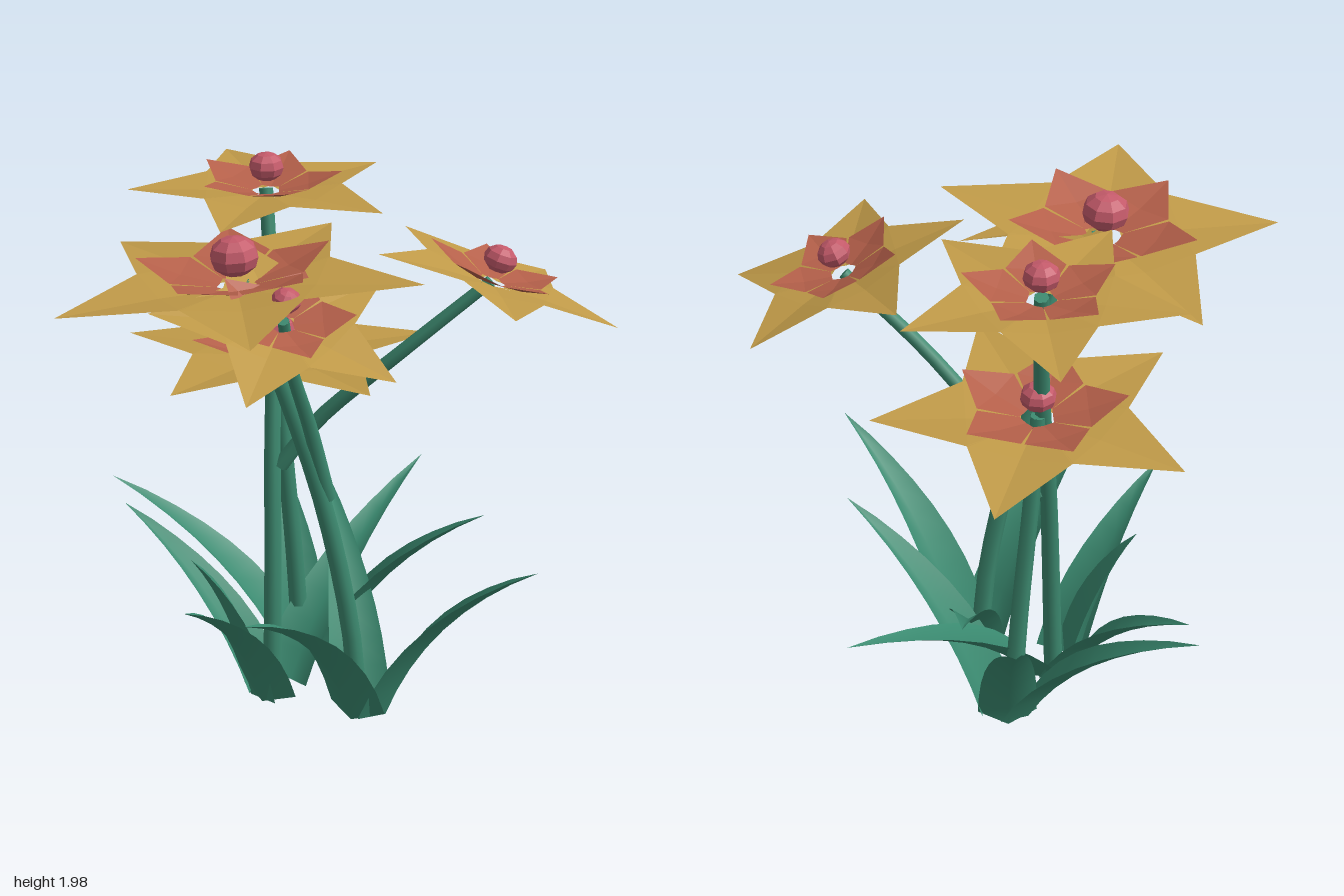
import * as THREE from 'three';

const mat = (color, flatShading = true) => new THREE.MeshStandardMaterial({ color, flatShading, side: THREE.DoubleSide });
const V = (p) => new THREE.Vector3(...p);

export function createModel() {
  const model = new THREE.Group();
  const stemMat = mat(0x3d8a70, false), leafMat = mat(0x3a8a70, false);
  const petalMat = mat(0xc09a48), innerMat = mat(0xb5604a), ballMat = mat(0xc45a6a);

  const add = (parent, name, geometry, material) => {
    const mesh = new THREE.Mesh(geometry, material);
    mesh.name = name;
    parent.add(mesh);
    return mesh;
  };

  // Strip of three-point rows, used for petals and leaves
  function stripGeometry(pos) {
    const idx = [];
    for (let a = 0; a < pos.length / 3 - 3; a += 3) for (const j of [a, a + 1]) {
      idx.push(j, j + 3, j + 1, j + 3, j + 4, j + 1);
    }
    const g = new THREE.BufferGeometry();
    g.setAttribute('position', new THREE.Float32BufferAttribute(pos, 3));
    g.setIndex(idx);
    g.computeVertexNormals();
    return g;
  }

  // Pointed kite petal along +x with a shallow crease; rows are [radius, half width, height]
  const petalGeometry = (rows, scale) => stripGeometry(
    rows.flatMap(([r, w, y]) => [r, y, w, r, y - w * 0.12, 0, r, y, -w]).map((v) => v * scale));
  const outerRows = [[0.1, 0.07, -0.01], [0.43, 0.32, 0.04], [1, 0, 0.01]];
  const innerRows = [[0.09, 0.065, 0], [0.3, 0.205, 0.065], [0.54, 0, 0.13]];

  // Flower head: ball centre and radius, height of ball over petals, petal reach, first petal angle, slopes
  function flower(ball, ballRadius, lift, reach, degrees, slopeX, slopeZ) {
    const head = new THREE.Group();
    head.name = 'flowerHead';
    const normal = new THREE.Vector3(-slopeX, 1, -slopeZ).normalize();
    head.position.copy(V(ball)).addScaledVector(normal, -lift);
    head.quaternion.setFromUnitVectors(new THREE.Vector3(0, 1, 0), normal);
    const outer = petalGeometry(outerRows, reach), inner = petalGeometry(innerRows, reach);
    for (let i = 0; i < 5; i++) {
      const angle = THREE.MathUtils.degToRad(degrees + i * 72);
      add(head, 'outerPetal', outer, petalMat).rotation.y = -angle;
      add(head, 'innerPetal', inner, innerMat).rotation.y = -angle - Math.PI / 5;
    }
    const centre = add(head, 'flowerCentre', new THREE.SphereGeometry(ballRadius, 8, 6), ballMat);
    centre.position.y = lift;
    centre.scale.y = 0.8;
    model.add(head);
  }
  flower([-0.33, 1.855, 0.18], 0.085, 0.095, 0.635, 40, 0.045, 0.05);
  flower([0.05, 1.95, -0.34], 0.064, 0.085, 0.495, -9, 0, 0.02);
  flower([0.6, 1.74, 0.35], 0.06, 0.08, 0.46, -31, -0.35, -0.07);
  flower([0.02, 1.39, -0.2], 0.065, 0.085, 0.58, 12, -0.01, 0.06);
  flower([-0.27, 1.78, 0.44], 0.05, 0.1, 0.44, 59, 0.03, -0.36);

  // Stems taper slightly towards the flower and have capped ends
  function stem(points, r0, r1) {
    const curve = new THREE.CatmullRomCurve3(points.map(V));
    const segments = 12, sides = 7;
    const g = new THREE.TubeGeometry(curve, segments, 1, sides, false);
    const p = g.attributes.position, v = new THREE.Vector3();
    for (let i = 0; i < p.count; i++) {
      const t = Math.floor(i / (sides + 1)) / segments;
      const c = curve.getPointAt(t);
      v.fromBufferAttribute(p, i).sub(c).multiplyScalar(r0 + (r1 - r0) * t).add(c);
      p.setXYZ(i, v.x, v.y, v.z);
    }
    add(model, 'stem', g, stemMat);
    const cap = add(model, 'stemCap', new THREE.CircleGeometry(r1, sides), stemMat);
    cap.position.copy(curve.getPointAt(1));
    cap.quaternion.setFromUnitVectors(new THREE.Vector3(0, 0, 1), curve.getTangentAt(1));
  }
  stem([[0.13, 0.02, 0.23], [0.1, 0.35, 0.225], [0, 0.85, 0.21], [-0.14, 1.3, 0.2], [-0.31, 1.76, 0.185]], 0.036, 0.03);
  stem([[-0.09, 0.02, -0.03], [-0.07, 0.5, -0.06], [-0.04, 0.95, -0.12], [0.01, 1.4, -0.21], [0.05, 1.87, -0.34]], 0.036, 0.026);
  stem([[0.12, 0.02, -0.2], [0.09, 0.45, -0.2], [0.05, 0.9, -0.2], [0.02, 1.31, -0.2]], 0.036, 0.028);
  // Side branches
  stem([[-0.02, 0.9, -0.1], [0.09, 1.09, -0.02], [0.3, 1.37, 0.17], [0.57, 1.66, 0.34]], 0.03, 0.022);
  stem([[0.01, 0.9, 0.21], [-0.08, 1.2, 0.25], [-0.2, 1.5, 0.33], [-0.26, 1.69, 0.4]], 0.03, 0.02);

  // Arching blade with a gutter cross-section, from a clump centre to its tip
  function leaf(centre, tip) {
    const root = V(centre), end = V(tip);
    const dir = new THREE.Vector3(end.x - root.x, 0, end.z - root.z).normalize();
    const side = new THREE.Vector3(-dir.z, 0, dir.x);
    const start = root.clone().addScaledVector(dir, 0.095);
    const mid = start.clone().lerp(end, 0.28);
    mid.y = end.y * 0.64;
    const curve = new THREE.QuadraticBezierCurve3(start, mid, end);
    const pos = [], n = 8;
    for (let i = 0; i <= n; i++) {
      const t = i / n, c = curve.getPoint(t);
      const up = new THREE.Vector3().crossVectors(curve.getTangent(t), side);
      if (up.dot(dir) > 0) up.negate();
      const w = 0.11 * Math.pow(1 - t, 0.8) * (1 + 0.2 * Math.sin(t * Math.PI));
      for (const s of [-1, 0, 1]) {
        const p = c.clone().addScaledVector(side, s * w).addScaledVector(up, Math.abs(s) * w * 0.55);
        pos.push(p.x, Math.max(p.y, 0.02), p.z);
      }
    }
    add(model, 'leaf', stripGeometry(pos), leafMat);
  }
  const clumps = [
    [[0.14, 0.02, 0.25], [[0.51, 0.76, 0.81], [-0.58, 0.8, 0.74], [0.36, 0.62, -0.43]]],
    [[-0.09, 0.02, -0.01], [[-0.61, 0.65, 0.33], [-0.42, 0.61, -0.61], [0.77, 0.63, -0.43], [-0.4, 0.62, -0.06]]],
    [[0.14, 0.02, -0.2], [[0.25, 0.71, -0.74], [-0.4, 0.65, -0.77], [0.61, 0.73, 0.3]]],
  ];
  for (const [centre, tips] of clumps) for (const tip of tips) leaf(centre, tip);

  return model;
}
